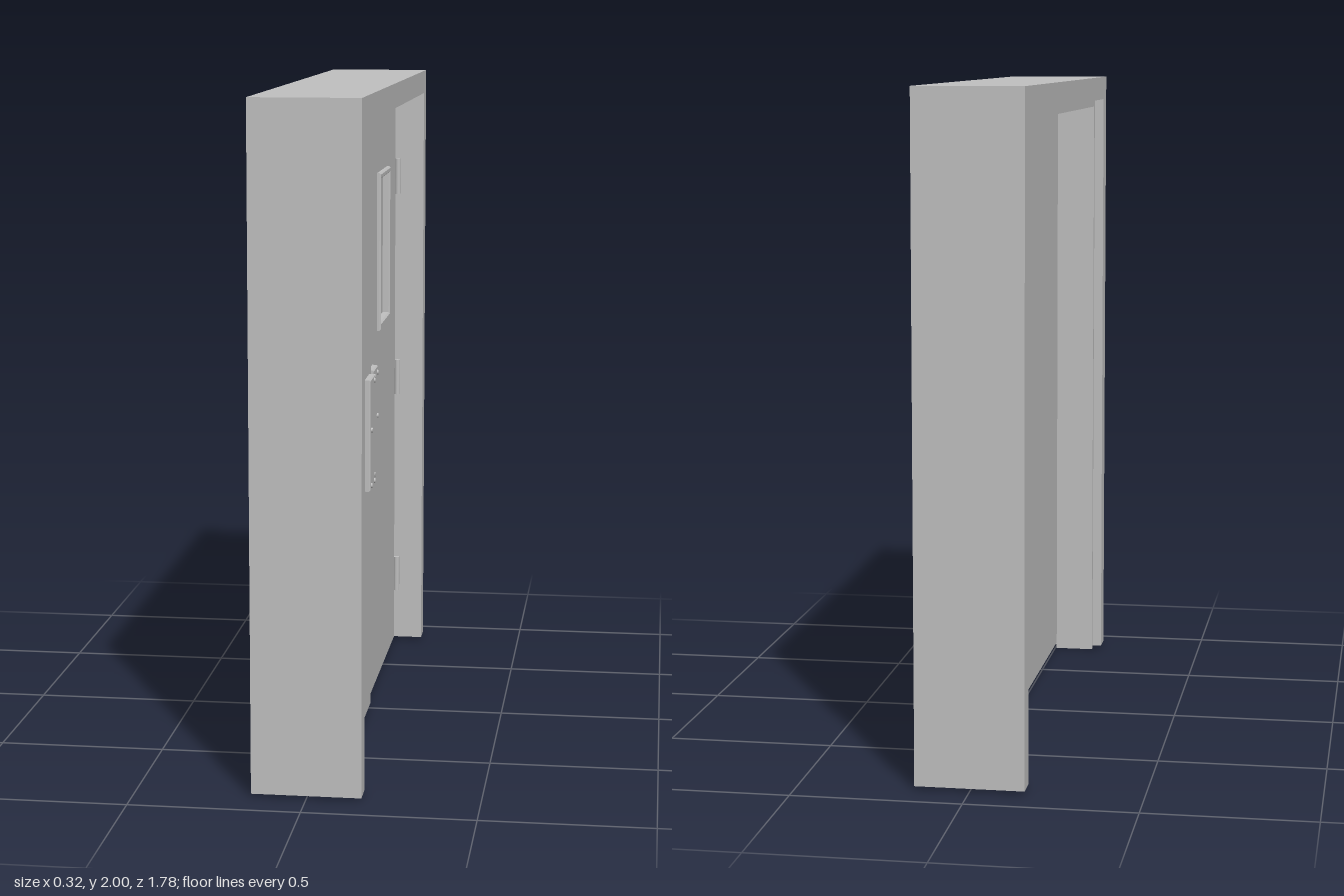
import * as THREE from 'three';

export function createModel() {
  const paint = new THREE.MeshStandardMaterial({ color: 0xc0c0c0 });
  paint.name = 'greyPaint';

  const model = new THREE.Group();
  model.name = 'doubleDoor';
  // Built facing +z, then turned so the door leaves face +x
  const body = new THREE.Group();
  body.name = 'doorAssembly';
  body.rotation.y = Math.PI / 2;
  model.add(body);

  function add(name, geometry) {
    const mesh = new THREE.Mesh(geometry, paint);
    mesh.name = name;
    body.add(mesh);
    return mesh;
  }

  // Box given by its limits
  function box(name, x0, x1, y0, y1, z0, z1) {
    const mesh = add(name, new THREE.BoxGeometry(x1 - x0, y1 - y0, z1 - z0));
    mesh.position.set((x0 + x1) / 2, (y0 + y1) / 2, (z0 + z1) / 2);
    return mesh;
  }

  function rectangle(target, x0, x1, y0, y1) {
    target.moveTo(x0, y0);
    target.lineTo(x1, y0);
    target.lineTo(x1, y1);
    target.lineTo(x0, y1);
    target.closePath();
    return target;
  }

  // Flat panel with an optional rectangular hole
  function panel(name, outer, hole, z0, z1, bevel = 0) {
    const shape = rectangle(new THREE.Shape(), ...outer);
    if (hole) shape.holes.push(rectangle(new THREE.Path(), ...hole));
    const geometry = new THREE.ExtrudeGeometry(shape, {
      depth: z1 - z0 - bevel, bevelEnabled: bevel > 0, bevelSegments: 1,
      bevelSize: bevel, bevelThickness: bevel, bevelOffset: -bevel,
    });
    add(name, geometry).position.z = z0;
  }

  // Inverted U around the doorway
  function arch(name, outer, top, inner, innerTop, bottom, z0, z1) {
    const shape = new THREE.Shape([
      [-outer, bottom], [-inner, bottom], [-inner, innerTop], [inner, innerTop],
      [inner, bottom], [outer, bottom], [outer, top], [-outer, top],
    ].map(([x, y]) => new THREE.Vector2(x, y)));
    const geometry = new THREE.ExtrudeGeometry(shape, { depth: z1 - z0, bevelEnabled: false });
    add(name, geometry).position.z = z0;
  }

  arch('frame', 0.89, 2, 0.82, 1.925, 0.01, -0.16, 0.16);
  arch('doorStop', 0.821, 1.926, 0.803, 1.9, 0, -0.13, -0.004);

  // Plain rear skin shared by the two leaves
  box('doorBack', -0.805, 0.778, 0.02, 1.905, -0.005, 0.045);

  const leaves = [
    {
      side: 'left', x: [-0.805, -0.014], face: 0.08, window: [-0.555, -0.275],
      plate: [-0.175, -0.055], hinge: -0.805,
      screws: [[-0.15, 0.94], [-0.08, 1.085], [-0.15, 0.765], [-0.075, 0.765]],
    },
    {
      side: 'right', x: [-0.01, 0.778], face: 0.068, window: [0.245, 0.53],
      plate: [0.005, 0.12], hinge: 0.782,
      screws: [[0.1, 0.94], [0.02, 1.08], [0.1, 1.08], [0.02, 0.765]],
    },
  ];

  for (const { side, x, face, window: [w0, w1], plate, hinge, screws } of leaves) {
    const glass = [w0 + 0.022, w1 - 0.022, 1.215, 1.68];

    // Leaf, recessed pane and window moulding
    panel(`${side}Leaf`, [...x, 0.02, 1.905], glass, 0.044, face);
    box(`${side}Pane`, glass[0], glass[1], glass[2], glass[3], 0.044, face - 0.012);
    panel(`${side}WindowMoulding`, [w0, w1, 1.19, 1.7], glass, face - 0.002, face + 0.012, 0.005);

    // Push plate with screws
    panel(`${side}PushPlate`, [...plate, 0.75, 1.1], null, face - 0.002, face + 0.018, 0.004);
    for (const [sx, sy] of screws) {
      const screw = add(`${side}Screw`, new THREE.CylinderGeometry(0.007, 0.008, 0.006, 10));
      screw.rotation.x = Math.PI / 2;
      screw.position.set(sx, sy, face + 0.02);
    }

    // Three hinges: knuckle plus leaf plate
    for (const y of [0.25, 0.95, 1.645]) {
      const knuckle = add(`${side}HingeKnuckle`, new THREE.CylinderGeometry(0.01, 0.01, 0.12, 10));
      knuckle.position.set(hinge, y, face + 0.008);
      box(`${side}HingePlate`, hinge - 0.003, hinge + 0.003, y - 0.055, y + 0.055, 0.03, face + 0.008);
    }
  }

  return model;
}
